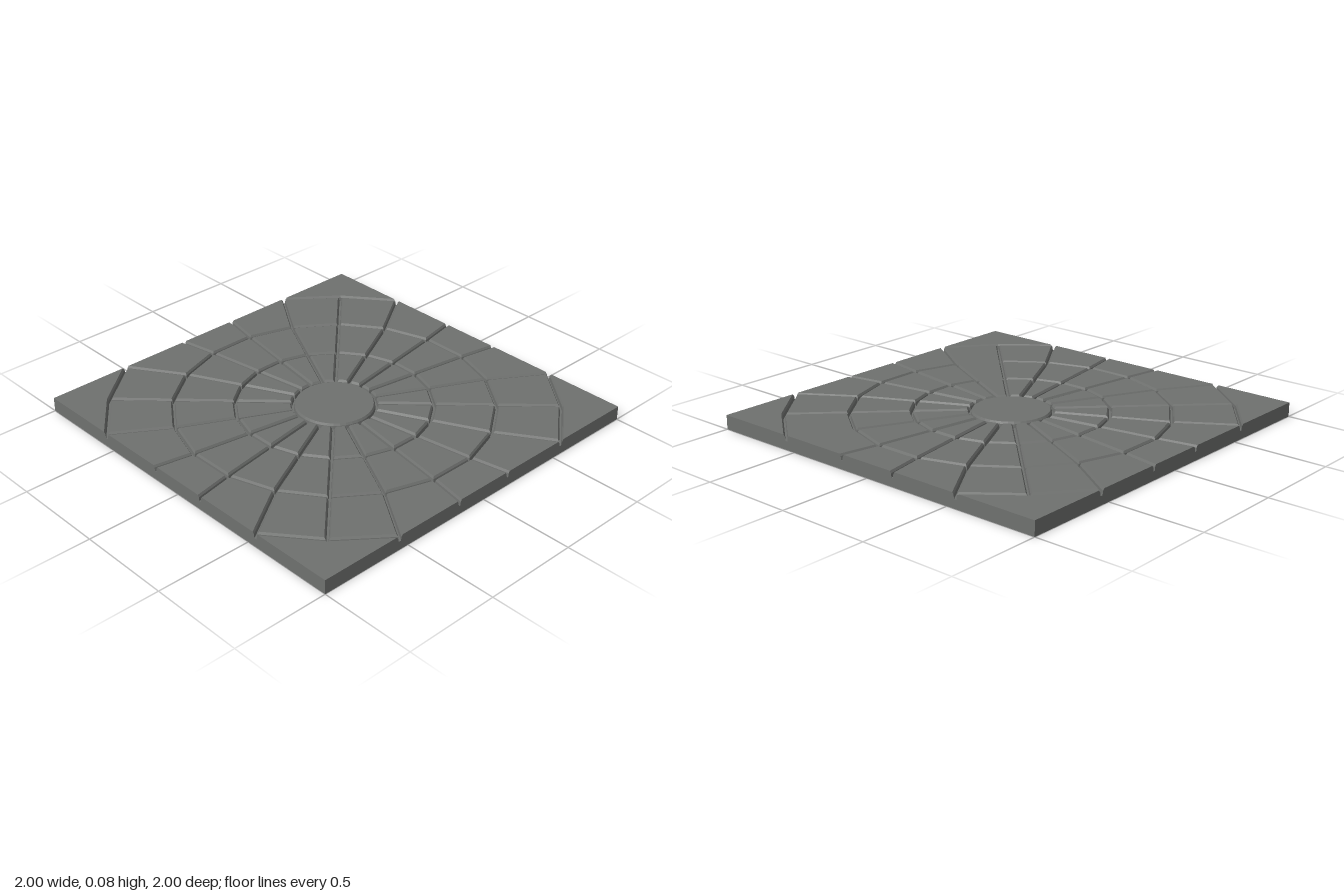
import * as THREE from 'three';

const TOP = 0.075, BED = 0.045;
const stoneMat = new THREE.MeshStandardMaterial({ color: 0x6f716f });
stoneMat.name = 'grey stone';

const polar = (r, a) => [r * Math.sin(a), -r * Math.cos(a)];
const onBorder = (p, q) => [0, 1].some(k => Math.abs(p[k]) > 0.999 && Math.abs(p[k] - q[k]) < 1e-4);

// Shrink a convex outline by d; edges on the slab border stay in place
function inset(pts, d) {
  const n = pts.length;
  const lines = pts.map((p, i) => {
    const q = pts[(i + 1) % n];
    const dx = q[0] - p[0], dz = q[1] - p[1], len = Math.hypot(dx, dz);
    const k = onBorder(p, q) ? 0 : d;
    return { x: p[0] + dz / len * k, z: p[1] - dx / len * k, dx, dz };
  });
  return lines.map((b, i) => {
    const a = lines[(i + n - 1) % n];
    const t = ((b.x - a.x) * b.dz - (b.z - a.z) * b.dx) / (a.dx * b.dz - a.dz * b.dx);
    return [a.x + a.dx * t, a.z + a.dz * t];
  });
}

// Stone block: stacked inset outlines give upright walls and a worn bevel
function stone(name, outline, gap) {
  let area = 0;
  outline.forEach((p, i) => {
    const q = outline[(i + 1) % outline.length];
    area += p[0] * q[1] - p[1] * q[0];
  });
  const pts = area > 0 ? [...outline].reverse() : outline;
  const n = pts.length;
  const loops = [[BED, 0.4], [0.064, 0.6], [TOP, 1.15]]
    .map(([y, k]) => inset(pts, gap * k).map(p => [p[0], y, p[1]]));
  const pos = [];
  for (let l = 0; l < 2; l++) {
    for (let i = 0; i < n; i++) {
      const j = (i + 1) % n;
      const a = loops[l][i], b = loops[l][j], c = loops[l + 1][j], d = loops[l + 1][i];
      pos.push(...a, ...b, ...c, ...a, ...c, ...d);
    }
  }
  const top = loops[2];
  for (let i = 1; i < n - 1; i++) pos.push(...top[0], ...top[i], ...top[i + 1]);
  const geo = new THREE.BufferGeometry();
  geo.setAttribute('position', new THREE.Float32BufferAttribute(pos, 3));
  geo.computeVertexNormals();
  const mesh = new THREE.Mesh(geo, stoneMat);
  mesh.name = name;
  return mesh;
}

export function createModel() {
  const group = new THREE.Group();
  group.name = 'radialPavingSlab';

  // Bed slab under the joints
  const bed = new THREE.Mesh(new THREE.BoxGeometry(2, BED, 2), stoneMat);
  bed.position.y = BED / 2;
  bed.name = 'bedSlab';
  group.add(bed);

  // Round centre stone
  const disc = Array.from({ length: 40 }, (_, i) => polar(0.21, i * Math.PI / 20));
  group.add(stone('centreStone', disc, 0.012));

  // Where the radial joints end, over one quarter
  const ends = [[-0.8, -0.8], [-0.55, -1], [-0.165, -1], [0.165, -1], [0.55, -1], [0.8, -0.8]];
  const step = Math.PI / 10;

  for (let quarter = 0; quarter < 4; quarter++) {
    const turn = ([x, z]) => {
      for (let k = 0; k < quarter; k++) [x, z] = [-z, x];
      return [x, z];
    };
    const add = (name, pts, gap) => group.add(stone(name, pts.map(turn), gap));
    for (let s = 0; s < 5; s++) {
      const a = (s - 2.5) * step, b = a + step;
      const ring = (r0, r1) => [polar(r0, a), polar(r0, b), polar(r1, b), polar(r1, a)];
      add('innerRingStone', ring(0.21, 0.5), 0.014);
      add('middleRingStone', ring(0.5, 0.81), 0.012);
      add('outerRingStone', [polar(0.81, a), polar(0.81, b), ends[s + 1], ends[s]], 0.012);
    }
    // Corner stone
    add('cornerStone', [[0.55, -1], [1, -1], [1, -0.55], [0.8, -0.8]], 0.012);
  }
  return group;
}
